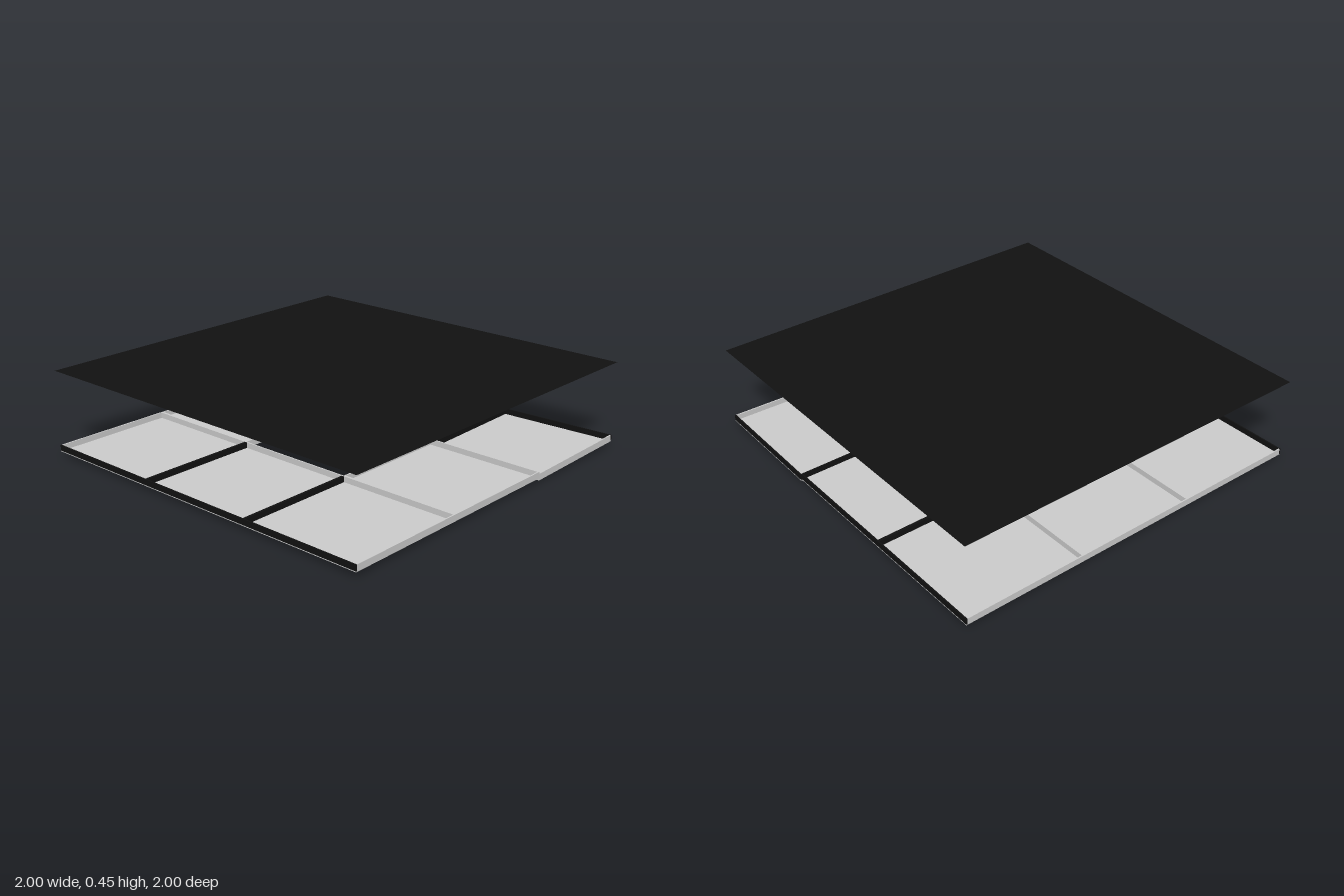
import * as THREE from 'three';

const grey = new THREE.MeshStandardMaterial({ color: 0xcccccc });
const black = new THREE.MeshStandardMaterial({ color: 0x111111 });

const TILE = 2 / 3;      // tray pitch
const BASE = 0.025;      // underside of the level trays
const HEIGHT = 0.034;
const WALL = 0.007;
const FLOOR = 0.004;

function addBox(parent, name, size, pos, material) {
  const mesh = new THREE.Mesh(new THREE.BoxGeometry(...size), material);
  mesh.name = name;
  mesh.position.set(...pos);
  parent.add(mesh);
}

// Open tray: thin floor and four thin walls, standing on its own y = 0
function makeTray(col, row) {
  const tray = new THREE.Group();
  tray.name = 'tray';
  const off = TILE / 2 - WALL / 2;
  addBox(tray, 'trayFloor', [TILE, FLOOR, TILE], [0, FLOOR / 2, 0], grey);
  const wallHeight = HEIGHT - FLOOR;
  const y = FLOOR + wallHeight / 2;
  for (const side of [-1, 1]) {
    // dark on the outer front and back and on the seams between columns
    const zMat = row === side ? black : grey;
    const xMat = row !== 0 && col !== side ? black : grey;
    addBox(tray, 'trayWall', [TILE, wallHeight, WALL], [0, y, side * off], zMat);
    addBox(tray, 'trayWall', [WALL, wallHeight, TILE - 2 * WALL], [side * off, y, 0], xMat);
  }
  return tray;
}

export function createModel() {
  const model = new THREE.Group();
  model.name = 'trayRingWithCover';

  // Ring of eight trays around an open centre
  for (let row = -1; row <= 1; row++) {
    for (let col = -1; col <= 1; col++) {
      if (row === 0 && col === 0) continue;
      const tray = makeTray(col, row);
      tray.position.set(col * TILE, BASE, row * TILE);
      // One corner tray sags towards the centre
      if (row === -1 && col === 1) {
        tray.name = 'saggingTray';
        tray.position.y = 0.0135;
        tray.rotation.set(0.02, 0, 0.02);
      }
      model.add(tray);
    }
  }

  // Flat cover sheet floating above the trays
  const sheetMaterial = black.clone();
  sheetMaterial.side = THREE.DoubleSide;
  const cover = new THREE.Mesh(new THREE.PlaneGeometry(2, 2), sheetMaterial);
  cover.name = 'coverSheet';
  cover.rotation.x = -Math.PI / 2;
  cover.position.y = 0.455;
  model.add(cover);

  return model;
}
